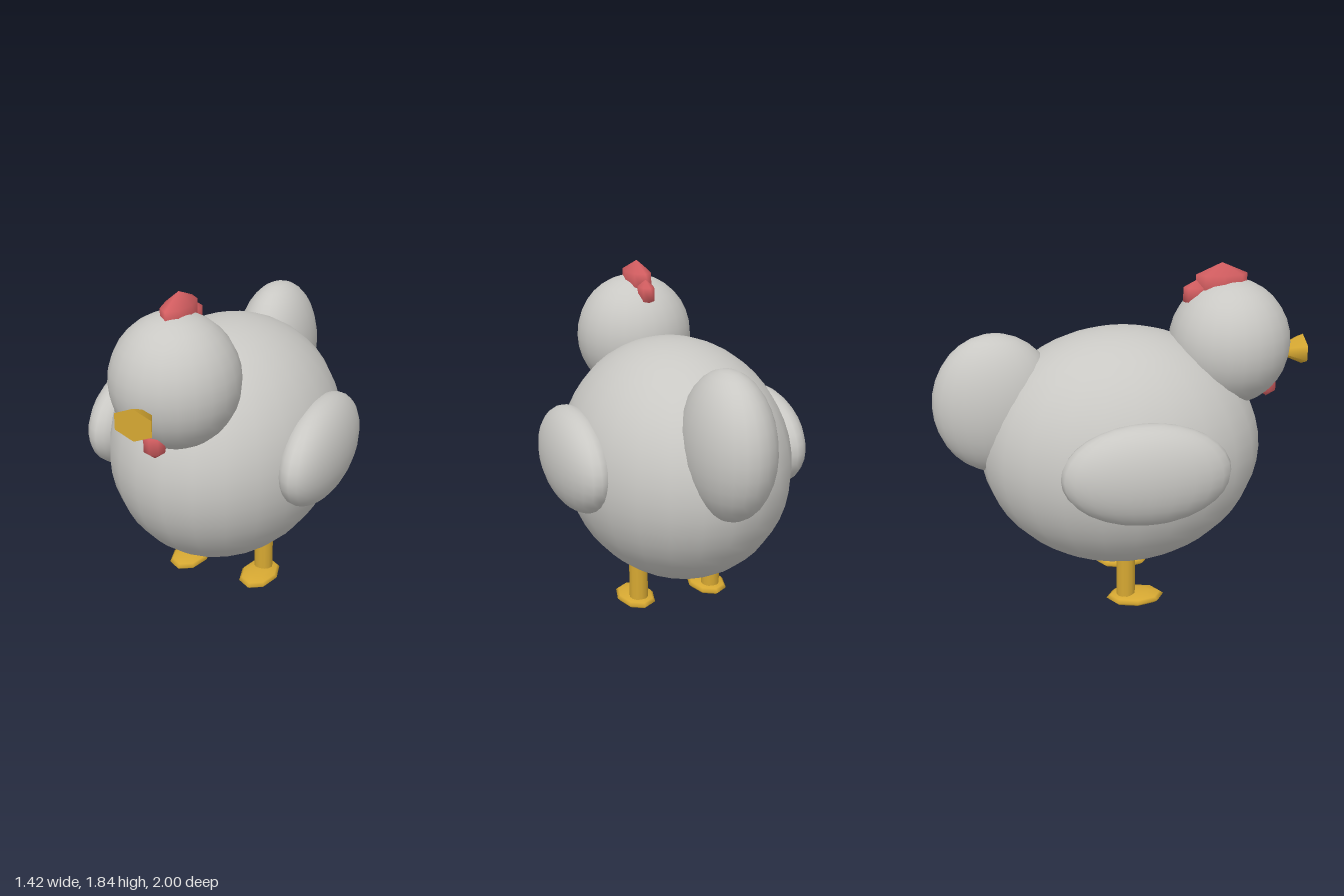
import * as THREE from 'three';

export function createModel() {
  const model = new THREE.Group();
  model.name = 'chicken';

  const material = (name, color) => {
    const m = new THREE.MeshStandardMaterial({ color });
    m.name = name;
    return m;
  };
  const plumage = material('pale grey plumage', 0xc9c8c4);
  const yellow = material('yellow', 0xd6a832);
  const red = material('red', 0xd65f62);

  const add = (name, geometry, mat, [x, y, z]) => {
    const mesh = new THREE.Mesh(geometry, mat);
    mesh.name = name;
    mesh.position.set(x, y, z);
    model.add(mesh);
  };
  const ellipsoid = ([rx, ry, rz], around = 24, rows = 16) =>
    new THREE.SphereGeometry(1, around, rows).scale(rx, ry, rz);

  // Rounded plumage masses
  add('body', ellipsoid([0.6, 0.652, 0.76], 24, 24), plumage, [0, 0.861, 0]);
  add('head', ellipsoid([0.325, 0.34, 0.325]), plumage, [0, 1.415, 0.59]);
  add('tail', ellipsoid([0.215, 0.38, 0.335]), plumage, [0, 1.135, -0.665]);

  // Comb and wattle, kept coarse
  add('frontComb', ellipsoid([0.08, 0.12, 0.159], 8, 3), red, [0, 1.725, 0.537]);
  add('rearComb', ellipsoid([0.052, 0.075, 0.081], 8, 3), red, [0, 1.682, 0.403]);
  add('wattle', ellipsoid([0.065, 0.083, 0.06], 8, 3), red, [0, 1.175, 0.81]);

  // Beak: six-sided cone, widening towards the front
  const beak = new THREE.ConeGeometry(1, 0.18, 6).rotateX(-Math.PI / 2).scale(0.112, 0.083, 1);
  add('beak', beak, yellow, [0, 1.352, 0.91]);

  // Mirrored wings, legs and feet
  for (const [side, s] of [['left', 1], ['right', -1]]) {
    add(side + 'Wing', ellipsoid([0.16, 0.27, 0.433]), plumage, [s * 0.55, 0.912, 0.043]);
    add(side + 'Leg', new THREE.CylinderGeometry(0.052, 0.052, 0.34, 12), yellow, [s * 0.22, 0.21, -0.008]);
    add(side + 'Foot', ellipsoid([0.106, 0.032, 0.16], 8, 6), yellow, [s * 0.22, 0.034, 0.045]);
  }

  return model;
}
